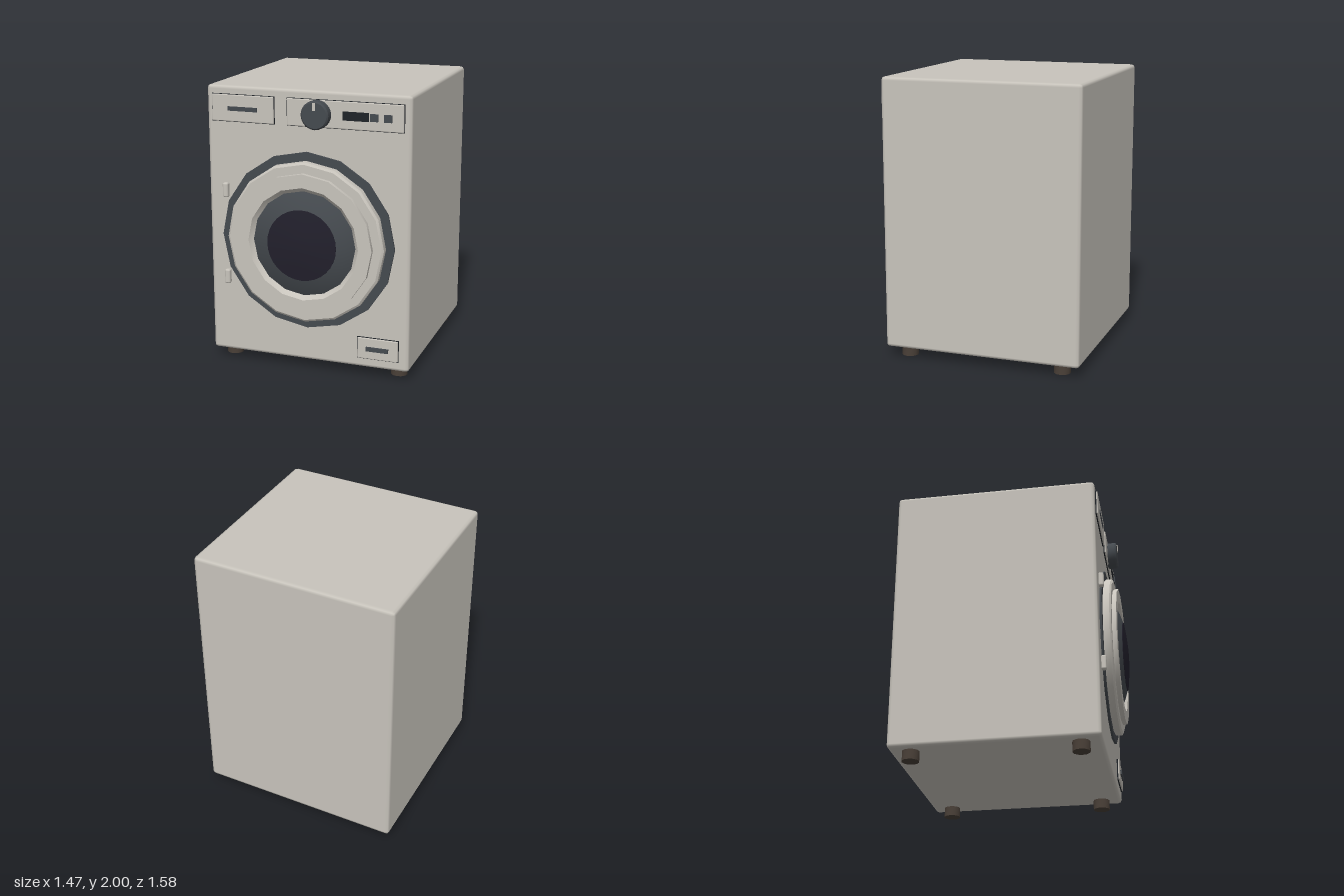
import * as THREE from 'three';
import { toCreasedNormals } from 'three/addons/utils/BufferGeometryUtils.js';
import { RoundedBoxGeometry } from 'three/addons/geometries/RoundedBoxGeometry.js';

const material = (name, color) => {
  const m = new THREE.MeshStandardMaterial({ color });
  m.name = name;
  return m;
};

export function createModel() {
  const group = new THREE.Group();
  const enamel = material('warm grey enamel', 0xc8c4bc);
  const charcoal = material('charcoal plastic', 0x454a4f);
  const glass = material('dark glass', 0x22202c);
  const black = material('black display', 0x1f2328);
  const rubber = material('brown rubber', 0x4a4038);

  const add = (name, geometry, mat, x = 0, y = 0, z = 0) => {
    const mesh = new THREE.Mesh(geometry, mat);
    mesh.name = name;
    mesh.position.set(x, y, z);
    group.add(mesh);
    return mesh;
  };

  // Box given by its limits on each axis
  const block = (name, mat, x0, x1, y0, y1, z0, z1, radius = 0) => {
    const size = [x1 - x0, y1 - y0, z1 - z0];
    const geo = radius ? new RoundedBoxGeometry(...size, 1, radius) : new THREE.BoxGeometry(...size);
    return add(name, geo, mat, (x0 + x1) / 2, (y0 + y1) / 2, (z0 + z1) / 2);
  };

  // Ring or dome turned around the z axis; profile is [radius, z]
  const turned = (name, mat, profile, segments, x, y) => {
    const lathe = new THREE.LatheGeometry(profile.map(([r, z]) => new THREE.Vector2(r, z)), segments);
    lathe.rotateX(Math.PI / 2);
    return add(name, toCreasedNormals(lathe, 0.5), mat, x, y);
  };

  // Cabinet with narrow bevelled edges
  block('cabinet', enamel, -0.735, 0.735, 0.07, 2, -0.785, 0.645, 0.025);

  // Feet
  for (const x of [-0.63, 0.63]) {
    for (const z of [-0.64, 0.5]) {
      add('foot', toCreasedNormals(new THREE.CylinderGeometry(0.06, 0.06, 0.075, 12), 0.6), rubber, x, 0.0375, z);
    }
  }

  // Front panels, each on a dark gap plate
  const panel = (name, x0, x1, y0, y1) => {
    block(name + 'Gap', black, x0 - 0.003, x1 + 0.003, y0 - 0.003, y1 + 0.003, 0.64, 0.653);
    block(name, enamel, x0, x1, y0, y1, 0.645, 0.663, 0.006);
  };
  panel('detergentDrawer', -0.69, -0.235, 1.755, 1.94);
  panel('controlPanel', -0.138, 0.683, 1.755, 1.94);
  panel('filterFlap', 0.368, 0.662, 0.144, 0.296);
  block('drawerSlot', charcoal, -0.57, -0.355, 1.83, 1.86, 0.655, 0.668);
  block('flapSlot', charcoal, 0.435, 0.595, 0.205, 0.235, 0.655, 0.675);

  // Controls
  block('display', black, 0.26, 0.445, 1.815, 1.875, 0.66, 0.668);
  for (const x of [0.483, 0.578]) {
    block('button', charcoal, x - 0.027, x + 0.027, 1.82, 1.87, 0.66, 0.677);
  }
  turned('programDial', charcoal,
    [[0.088, 0.655], [0.098, 0.665], [0.098, 0.72], [0.088, 0.73], [0, 0.73]], 24, 0.083, 1.845);
  block('dialPointer', enamel, 0.073, 0.093, 1.88, 1.932, 0.729, 0.736);

  // Porthole door
  turned('doorSurround', charcoal,
    [[0.63, 0.64], [0.63, 0.66], [0.5, 0.66]], 16, 0, 0.95);
  turned('doorFrame', enamel,
    [[0.57, 0.655], [0.57, 0.705], [0.555, 0.716], [0.495, 0.716], [0.495, 0.747],
      [0.4, 0.747], [0.37, 0.715]], 16, 0, 0.95);
  turned('glassRim', charcoal,
    [[0.375, 0.715], [0.31, 0.746], [0.245, 0.767]], 16, 0, 0.95);
  turned('glassBowl', glass,
    [[0.25, 0.755], [0.25, 0.768], [0.17, 0.779], [0.08, 0.787], [0, 0.79]], 32, 0, 0.95);

  // Door hinges
  for (const y of [0.635, 1.268]) {
    block('hinge', enamel, -0.622, -0.58, y - 0.052, y + 0.052, 0.64, 0.68, 0.012);
  }

  return group;
}
